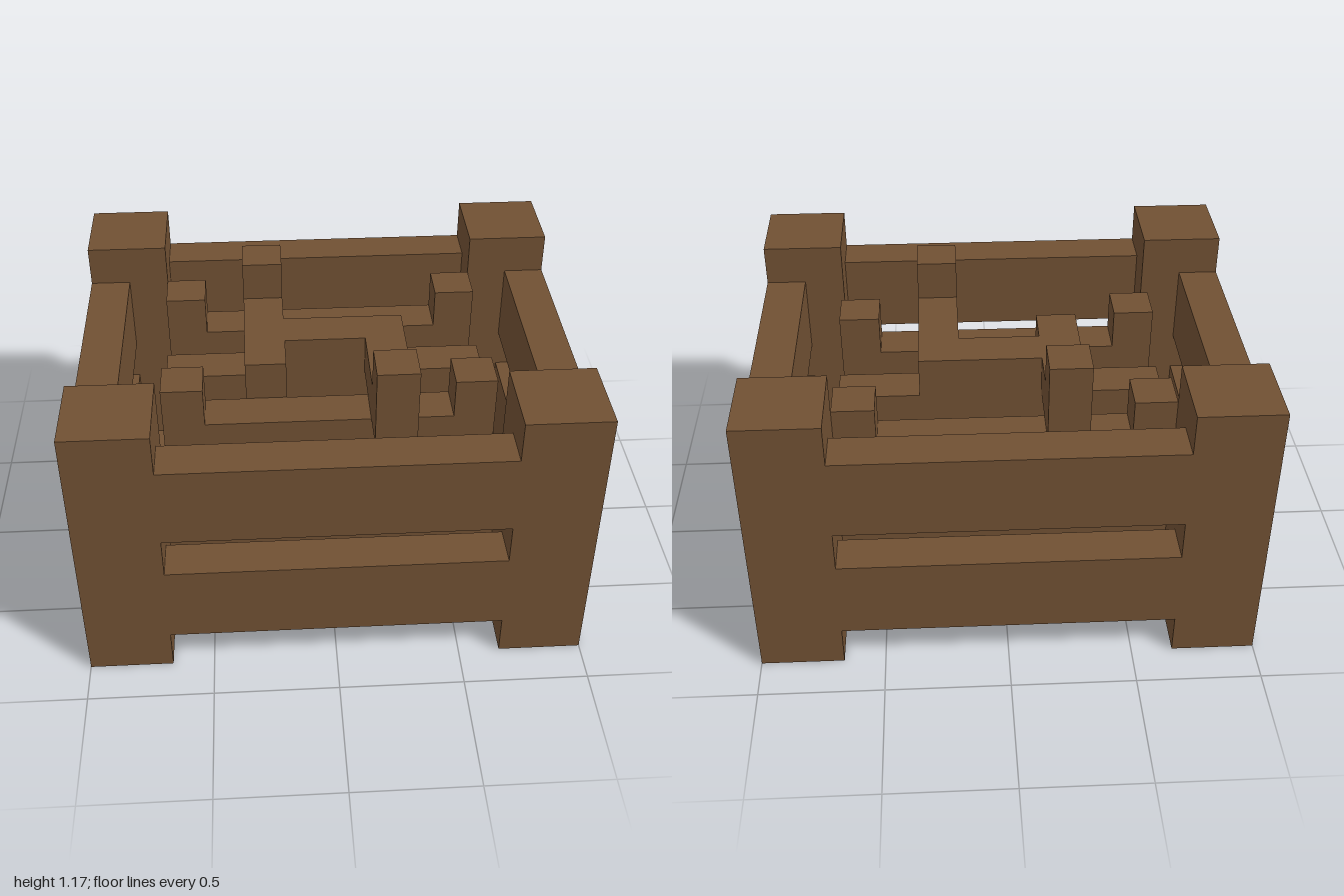
import * as THREE from 'three';

// Everything sits on a grid of one sixth of a unit.
const U = 1 / 6;

export function createModel() {
  const crate = new THREE.Group();
  crate.name = 'crate';
  const wood = new THREE.MeshStandardMaterial({ color: 0x705033 });
  wood.name = 'brown wood';

  // Box between two grid corners
  function block(name, [x0, x1], [y0, y1], [z0, z1], parent = crate) {
    const geometry = new THREE.BoxGeometry((x1 - x0) * U, (y1 - y0) * U, (z1 - z0) * U);
    const mesh = new THREE.Mesh(geometry, wood);
    mesh.name = name;
    mesh.position.set((x0 + x1) * U / 2, (y0 + y1) * U / 2, (z0 + z1) * U / 2);
    parent.add(mesh);
    return mesh;
  }
  // Range from a to b, mirrored when side is -1
  const span = (side, a, b) => (side > 0 ? [a, b] : [-b, -a]);

  // Corner posts
  for (const sx of [-1, 1])
    for (const sz of [-1, 1]) block('cornerPost', span(sx, 4, 6), [0, 7], span(sz, 3, 5));

  // Two slats on each of the four walls
  for (const y of [[1, 3], [4, 6]])
    for (const side of [-1, 1]) {
      block(side > 0 ? 'frontSlat' : 'backSlat', [-4, 4], y, span(side, 4, 5));
      block(side > 0 ? 'leftSlat' : 'rightSlat', span(side, 5, 6), y, [-3, 3]);
    }

  // Floor
  block('floor', [-5, 5], [0, 1], [-4, 4]);

  // Stacked contents
  const contents = new THREE.Group();
  contents.name = 'contents';
  crate.add(contents);
  block('stackBase', [-4, 4], [1, 4], [-3, 3], contents);

  // Bars lying across the stack, the outer two with upturned ends
  for (const z of [-3, -1, 1]) {
    block('crossBar', [-4, 4], [4, 5], [z, z + 1], contents);
    if (z !== -1)
      for (const side of [-1, 1]) block('barEnd', span(side, 3, 4), [5, 6], [z, z + 1], contents);
  }

  // Zigzag piece on top, with an upright tip at each end
  block('zigzagBackArm', [-2, -1], [5, 6], [-3, 1], contents);
  block('zigzagMiddle', [-1, 1], [5, 6], [-1, 0], contents);
  block('zigzagFrontArm', [1, 2], [5, 6], [-1, 3], contents);
  block('zigzagBackTip', [-2, -1], [6, 7], [-3, -2], contents);
  block('zigzagFrontTip', [1, 2], [6, 7], [2, 3], contents);

  return crate;
}
